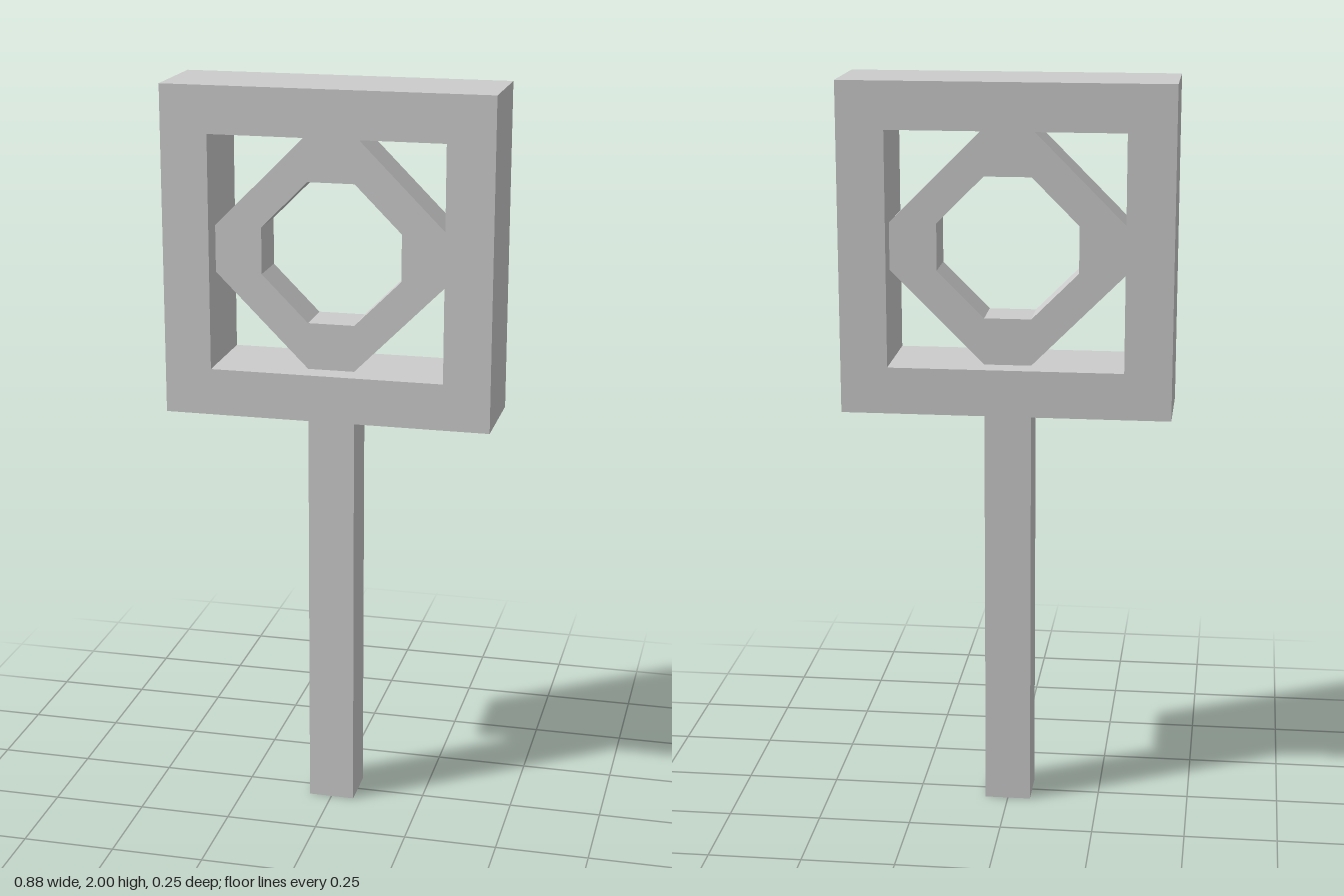
import * as THREE from 'three';

const CENTER_Y = 1.5625;

// Corner points of a square, or of an octagon whose flats reach `half`
const square = (half) => [[half, half], [-half, half], [-half, -half], [half, -half]];
const octagon = (half, cut) => [
  [half, cut], [cut, half], [-cut, half], [-half, cut],
  [-half, -cut], [-cut, -half], [cut, -half], [half, -cut],
];
const toPoints = (corners) => corners.map(([x, y]) => new THREE.Vector2(x, y));

// Flat plate with an opening, centred on z = 0
function createPlate(name, outer, inner, depth, material) {
  const shape = new THREE.Shape(toPoints(outer));
  shape.holes.push(new THREE.Path(toPoints(inner)));
  const geometry = new THREE.ExtrudeGeometry(shape, { depth, bevelEnabled: false });
  geometry.translate(0, 0, -depth / 2);
  const mesh = new THREE.Mesh(geometry, material);
  mesh.name = name;
  mesh.position.y = CENTER_Y;
  return mesh;
}

export function createModel() {
  const group = new THREE.Group();
  group.name = 'framedRingOnPost';
  const material = new THREE.MeshStandardMaterial({ color: 0xcccccc, flatShading: true });

  // Square post
  const post = new THREE.Mesh(new THREE.BoxGeometry(0.125, 1.125, 0.125), material);
  post.name = 'post';
  post.position.y = 0.5625;
  group.add(post);

  // Deep square frame with a thinner octagonal ring set inside it
  group.add(
    createPlate('squareFrame', square(0.4375), square(0.3125), 0.25, material),
    createPlate('octagonRing', octagon(0.3125, 0.0625), octagon(0.1875, 0.0625), 0.125, material),
  );
  return group;
}
